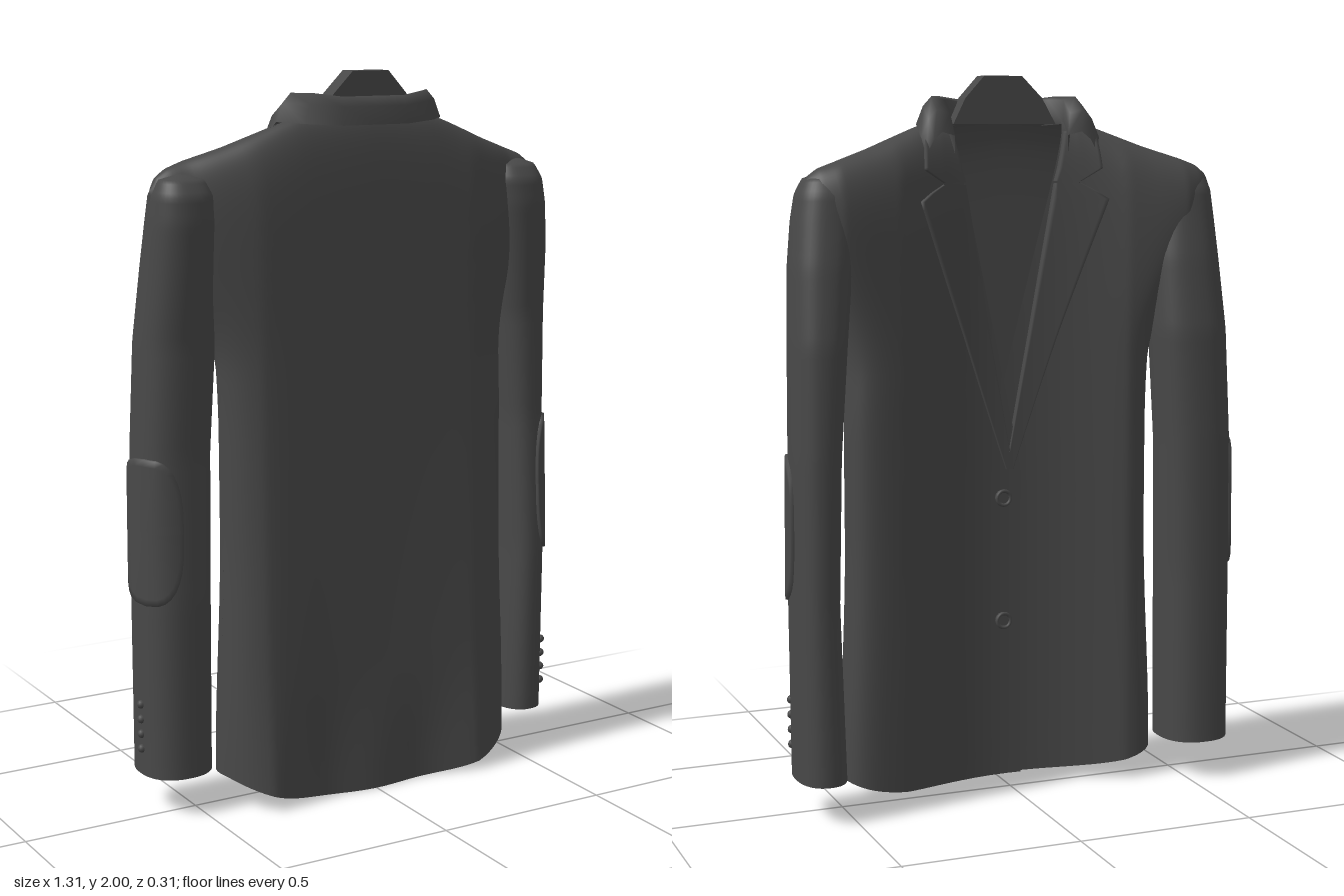
import * as THREE from 'three';

const cloth = new THREE.MeshStandardMaterial({ color: 0x484848, side: THREE.DoubleSide });
cloth.name = 'charcoal cloth';

const { lerp, clamp, smoothstep } = THREE.MathUtils;

// Sheet from a rule point(u, v) -> [x, y, z]; faces whose corners are all hidden are left out
function sheet(name, point, nu, nv, flip = false, hidden = () => false) {
  const pos = [], index = [], out = [];
  for (let j = 0; j <= nv; j++)
    for (let i = 0; i <= nu; i++) {
      const p = point(i / nu, j / nv);
      pos.push(...p);
      out.push(!hidden(...p));
    }
  for (let j = 0; j < nv; j++)
    for (let i = 0; i < nu; i++) {
      const a = j * (nu + 1) + i, b = a + 1, d = a + nu + 1, c = d + 1;
      if (out[a] || out[b] || out[c] || out[d]) index.push(...(flip ? [a, d, b, b, d, c] : [a, b, d, b, c, d]));
    }
  const g = new THREE.BufferGeometry();
  g.setAttribute('position', new THREE.Float32BufferAttribute(pos, 3));
  g.setIndex(index);
  g.computeVertexNormals();
  return named(name, g);
}

function named(name, geometry) {
  const m = new THREE.Mesh(geometry, cloth);
  m.name = name;
  return m;
}

// Linear lookup in rows sorted by their first value
function lookup(rows, y) {
  let i = 0;
  while (i < rows.length - 2 && y > rows[i + 1][0]) i++;
  const k = clamp((y - rows[i][0]) / (rows[i + 1][0] - rows[i][0]), 0, 1);
  return rows[i].map((a, n) => lerp(a, rows[i + 1][n], k));
}

// Torso rules: a thin crescent in plan, widening into the shoulders and closing along their top
const centre = v => 0.035 * (1 - smoothstep(v, 0.55, 1));
const halfWidth = v => 0.445 + 0.02 * smoothstep(0.4 - v, 0, 0.4) + 0.155 * smoothstep(v, 0.65, 1);
const shoulder = [[0, 1.89], [0.2, 1.88], [0.26, 1.862], [0.4, 1.808], [0.5, 1.775], [0.55, 1.757], [0.58, 1.735], [0.605, 1.69]];
const topY = x => lookup(shoulder, Math.abs(x))[1];
const hemY = (x, back) => {
  const k = Math.min(1, Math.abs(x - 0.035) / 0.46);
  return back ? 0.005 + 0.085 * k ** 3 : 0.04 + 0.05 * k ** 4;
};
const heightShare = (x, y, back) => clamp((y - hemY(x, back)) / (topY(x) - hemY(x, back)), 0, 1);
function torsoZ(x, v, back) {
  const t = Math.min(1, Math.abs(x - centre(v)) / halfWidth(v));
  const middle = 0.07 - 0.32 * Math.min(x * x, 0.25);
  const round = Math.sqrt(1 - t ** 9) * Math.sqrt(Math.max(0, 1 - v ** 24));
  const thick = Math.min(0.055 + 0.45 * x * x, 0.105) * round;
  const fold = 0.008 * Math.cos(x * 19) * (1 - smoothstep(v, 0, 0.2)) * round;
  return back ? middle + thick * (0.7 + 0.44 * (1 - v) ** 2) + fold : middle - thick;
}
const frontZ = (x, y) => torsoZ(x, heightShare(x, y, false), false);
const ease = w => 1 - (1 - w) ** 1.8;

// Sleeve rows: y, centre x, centre z, radius x, radius z
const sleeveRows = {
  1: [[0.115, 0.577, -0.043, 0.068, 0.11], [0.6, 0.585, -0.042, 0.062, 0.108], [1, 0.58, -0.05, 0.066, 0.1],
    [1.3, 0.567, -0.045, 0.076, 0.1], [1.5, 0.55, -0.02, 0.083, 0.098], [1.62, 0.535, -0.002, 0.083, 0.092],
    [1.69, 0.525, 0.003, 0.08, 0.084], [1.73, 0.52, 0.003, 0.065, 0.06], [1.752, 0.52, 0, 0, 0]],
  '-1': [[0.115, 0.545, -0.043, 0.1, 0.11], [0.6, 0.543, -0.042, 0.102, 0.108], [1, 0.535, -0.05, 0.105, 0.1],
    [1.3, 0.52, -0.045, 0.107, 0.1], [1.5, 0.513, -0.02, 0.1, 0.098], [1.62, 0.515, -0.002, 0.09, 0.092],
    [1.69, 0.515, 0.003, 0.083, 0.084], [1.73, 0.515, 0.003, 0.065, 0.06], [1.752, 0.515, 0, 0, 0]],
};
const signedPow = (c, p) => Math.sign(c) * Math.abs(c) ** p;
function sleevePoint(s, a, y, out = 0) {
  const [, cx, cz, rx, rz] = lookup(sleeveRows[s], y);
  return [s * (cx + signedPow(Math.cos(a), 0.85) * (rx + out)), y, cz + signedPow(Math.sin(a), 0.85) * (rz + out)];
}

// Cloth lying well inside the neighbouring part is not built
function insideSleeve(x, y, z) {
  const [, cx, cz, rx, rz] = lookup(sleeveRows[x > 0 ? 1 : -1], y);
  return y < 1.74 && ((Math.abs(x) - cx) / rx) ** 2 + ((z - cz) / rz) ** 2 < 0.8;
}
function insideTorso(x, y, z) {
  const v = heightShare(x, y, true);
  return v < 0.99 && Math.abs(x - centre(v)) < halfWidth(v) - 0.01
    && z < torsoZ(x, v, true) - 0.01 && z > frontZ(x, y) + 0.01;
}

function torso(group) {
  group.add(sheet('backPanel', (u, w) => {
    const v = ease(w), a = (u - 0.5) * Math.PI;
    const x = centre(v) + Math.sin(a) * halfWidth(v);
    return [x, lerp(hemY(x, true), topY(x), v), torsoZ(x, v, true)];
  }, 72, 60, false, insideSleeve));
  for (const s of [1, -1])
    group.add(sheet(s > 0 ? 'leftFrontPanel' : 'rightFrontPanel', (u, w) => {
      const v = ease(w), inner = s > 0 ? -0.035 : 0.07;
      const edge = v < 0.48 ? inner : lerp(inner, s * 0.17, (v - 0.48) / 0.52);
      const x = lerp(edge, centre(v) + s * halfWidth(v), Math.sin(u * Math.PI / 2));
      const overlap = s * 0.007 * (1 - u) ** 2 * (1 - v ** 8);
      return [x, lerp(hemY(x, false), topY(x), v), torsoZ(x, v, false) - overlap];
    }, 40, 60, s > 0, insideSleeve));
}

function sleeve(s) {
  const g = new THREE.Group();
  g.name = s > 0 ? 'leftSleeve' : 'rightSleeve';
  g.add(sheet('sleeveTube', (u, v) => sleevePoint(s, u * Math.PI * 2, 1.752 - 1.637 * (1 - v) ** 1.6),
    40, 60, s > 0, insideTorso));
  // Raised elbow patch with a rounded outline
  const a0 = s > 0 ? 0.65 : 0.45, span = s > 0 ? 0.85 : 1.05;
  g.add(sheet('elbowPatch', (u, v) => {
    const a = u * Math.PI * 2, r = Math.min(1, v * 1.08);
    return sleevePoint(s, a0 + span * r * signedPow(Math.cos(a), 0.65), 0.8 + 0.2 * r * signedPow(Math.sin(a), 0.65),
      v > 0.95 ? -0.005 : 0.008);
  }, 32, 12, s > 0));
  // Cuff buttons
  for (let i = 0; i < 4; i++) {
    const b = named('cuffButton', new THREE.SphereGeometry(0.012, 10, 8));
    b.position.set(...sleevePoint(s, s > 0 ? 0.75 : 0.1, 0.19 + i * 0.042));
    g.add(b);
  }
  return g;
}

// Raised flap on the front; rows: y, inner x, outer x
function flap(name, s, rows, lift) {
  const n = 16;
  return sheet(name, (u, v) => {
    const y = lerp(rows[0][0], rows[rows.length - 1][0], v);
    const [, xi, xo] = lookup(rows, y);
    const x = s * lerp(xi, xo, clamp((u * n - 1) / (n - 2), 0, 1));
    return [x, y, frontZ(x, y) - (u === 0 || u === 1 ? -0.004 : lift)];
  }, n, 36, s > 0);
}

// Collar stations: outer x, outer z, bottom y, inner x, inner z, top y
const collarHalf = [
  [0, 0.13, 1.86, 0, 0.095, 1.935], [0.1, 0.13, 1.86, 0.09, 0.095, 1.935], [0.2, 0.1, 1.866, 0.145, 0.08, 1.945],
  [0.255, 0.045, 1.87, 0.175, 0.04, 1.945], [0.26, -0.01, 1.835, 0.175, -0.005, 1.91],
  [0.25, -0.026, 1.79, 0.165, -0.015, 1.85],
];
function collar() {
  const st = [...collarHalf.slice(1).reverse().map(([a, b, c, d, e, f]) => [-a, b, c, -d, e, f]), ...collarHalf];
  return sheet('collar', (u, v) => {
    const [xo, zo, yb, xi, zi, yt] = st[Math.round(v * (st.length - 1))];
    return [
      [xo, yb, zo], [lerp(xo, xi, 0.25), lerp(yb, yt, 0.65), lerp(zo, zi, 0.1)],
      [lerp(xo, xi, 0.55), yt, lerp(zo, zi, 0.4)], [xi, yt - 0.01, zi], [xi, yb, zi],
    ][Math.round(u * 4)];
  }, 4, st.length - 1, true);
}

export function createModel() {
  const model = new THREE.Group();
  model.name = 'jacket';
  torso(model);
  for (const s of [1, -1]) {
    model.add(sleeve(s));
    model.add(flap('lapel', s, [[0.92, -0.01, 0.01], [1.3, 0.06, 0.14], [1.67, 0.125, 0.275], [1.71, 0.132, 0.2]], 0.014));
    model.add(flap('collarLeaf', s, [[1.715, 0.132, 0.2], [1.75, 0.142, 0.258], [1.85, 0.165, 0.25]], 0.016));
  }
  model.add(collar());

  // Upright piece inside the back of the neck
  const stand = new THREE.Shape([[-0.15, 1.87], [0.15, 1.87], [0.115, 1.94], [0.06, 2], [-0.05, 2], [-0.11, 1.94]]
    .map(p => new THREE.Vector2(...p)));
  const neck = named('neckStand', new THREE.ExtrudeGeometry(stand, { depth: 0.054, bevelEnabled: false }));
  neck.position.z = 0.038;
  model.add(neck);

  // Front buttons: disc with a raised rim
  for (const y of [0.84, 0.49]) {
    const button = new THREE.Group();
    button.name = 'frontButton';
    const disc = named('buttonDisc', new THREE.CylinderGeometry(0.022, 0.022, 0.012, 20));
    disc.rotation.x = Math.PI / 2;
    const rim = named('buttonRim', new THREE.TorusGeometry(0.02, 0.005, 8, 20));
    rim.position.z = -0.006;
    button.add(disc, rim);
    button.position.set(0.02, y, frontZ(0.02, y) - 0.012);
    model.add(button);
  }
  return model;
}
